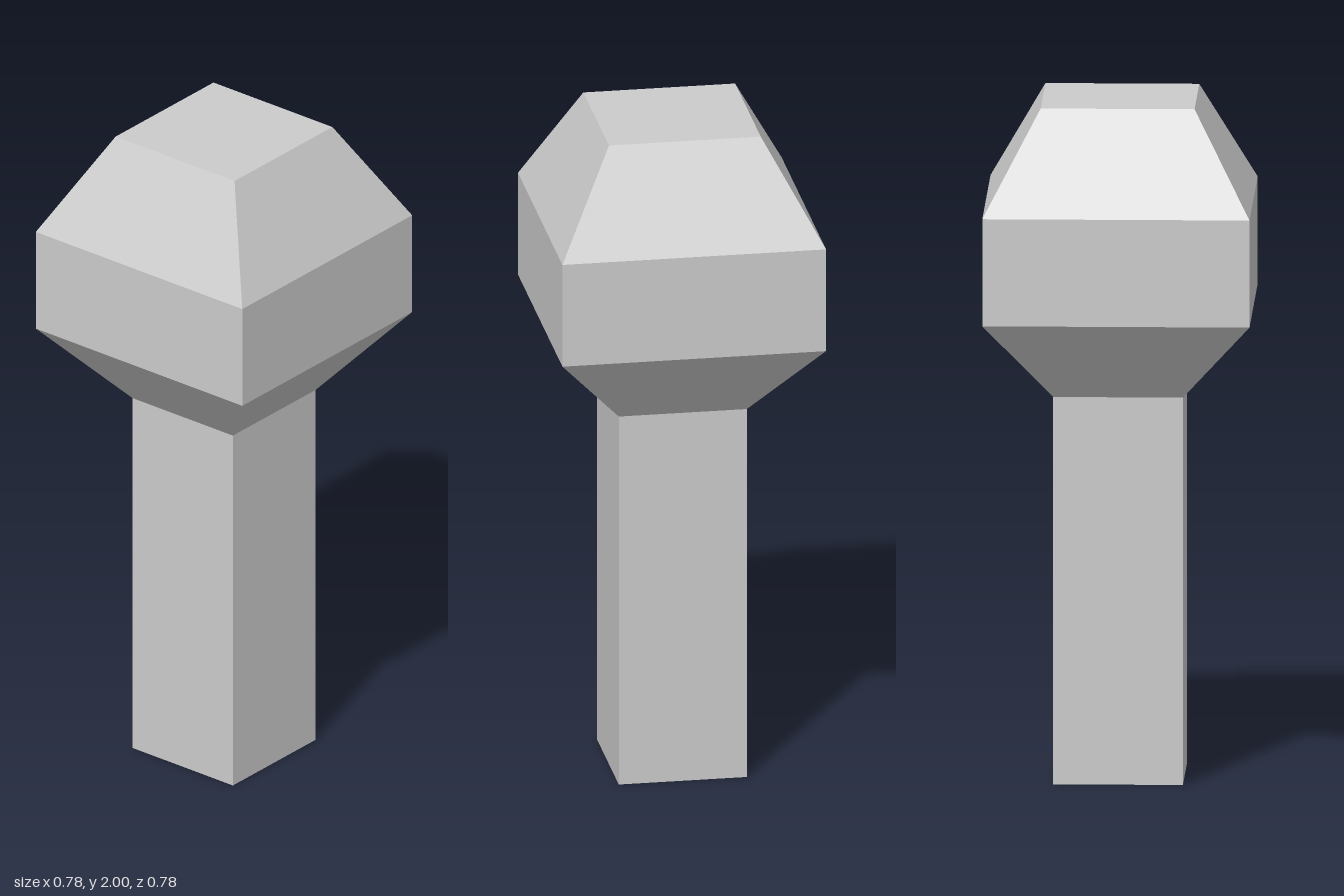
import * as THREE from 'three';

// Square solid from [halfWidth, height] levels, listed bottom to top
function squareLoft(name, levels, material) {
  const points = levels.map(([half, y]) => new THREE.Vector2(half * Math.SQRT2, y));
  const geometry = new THREE.LatheGeometry(points, 4, Math.PI / 4).toNonIndexed();
  geometry.computeVertexNormals();
  const mesh = new THREE.Mesh(geometry, material);
  mesh.name = name;
  return mesh;
}

export function createModel() {
  const model = new THREE.Group();
  model.name = 'squareHeadedPost';
  const material = new THREE.MeshStandardMaterial({ color: 0xcccccc, flatShading: true });

  // Straight square shaft, closed at the foot
  model.add(squareLoft('shaft', [[0, 0], [0.189, 0], [0.189, 1.143]], material));

  // Head: flared underside, upright band, tapered crown and flat top
  model.add(squareLoft('head', [
    [0.189, 1.143], [0.389, 1.384], [0.389, 1.7], [0.224, 2], [0, 2],
  ], material));

  return model;
}
